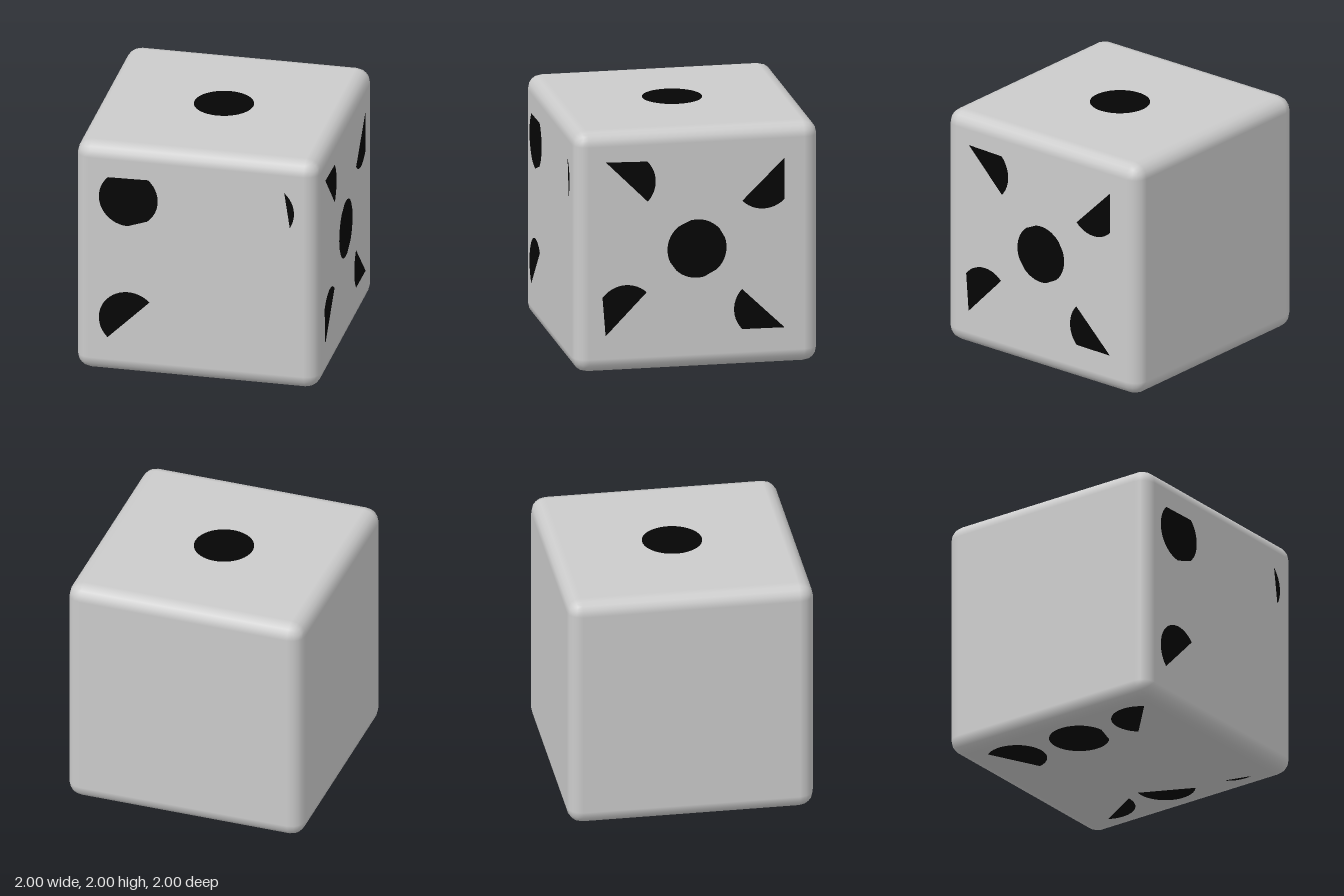
import * as THREE from 'three';
import { RoundedBoxGeometry } from 'three/addons/geometries/RoundedBoxGeometry.js';

const R = 0.242;
const LIFT = 1.002;

// Each spot: centre x, centre y, then the arcs [from, to] in degrees; chords join the arcs.
const FACES = [
  { name: 'front', rot: [0, 0, 0], spots: [
    [-0.56, 0.55, [-50, 48], [134, 268]],
    [-0.56, -0.515, [44, 225]],
    [0.56, 0.55, [-31, 48]],
  ] },
  { name: 'left', rot: [0, Math.PI / 2, 0], spots: [
    [0, 0, [-48, 20], [40, 102], [128, 205], [225, 284]],
    [-0.58, 0.575, [-43, 44], [133, 133]],
    [0.545, 0.545, [-136, -45], [45, 45]],
    [-0.58, -0.515, [46, 143], [226, 226]],
    [0.545, -0.52, [137, 224], [315, 315]],
  ] },
  { name: 'top', rot: [-Math.PI / 2, 0, 0], spots: [[0, 0, [0, 352]]] },
  { name: 'bottom', rot: [Math.PI / 2, 0, 0], spots: [
    [-0.59, -0.59, [13, 218]],
    [-0.59, 0.03, [96, 409]],
    [-0.59, 0.65, [138, 318]],
    [0.57, -0.57, [-31, 92]],
    [0.57, 0.03, [-102, 52]],
    [0.57, 0.65, [-44, 14]],
  ] },
];

// Flat disc trimmed by straight chords
function spotGeometry([cx, cy, ...arcs]) {
  const points = [];
  for (const [from, to] of arcs) {
    const steps = Math.ceil((to - from) / 8);
    for (let i = 0; i <= steps; i++) {
      const a = THREE.MathUtils.degToRad(from + (steps ? ((to - from) * i) / steps : 0));
      points.push(new THREE.Vector2(cx + R * Math.cos(a), cy + R * Math.sin(a)));
    }
  }
  return new THREE.ShapeGeometry(new THREE.Shape(points));
}

export function createModel() {
  const model = new THREE.Group();
  model.name = 'die';
  const grey = new THREE.MeshStandardMaterial({ color: 0xcccccc });
  const black = new THREE.MeshStandardMaterial({ color: 0x050505 });

  // Cube with softly rounded edges
  const body = new THREE.Mesh(new RoundedBoxGeometry(2, 2, 2, 2, 0.12), grey);
  body.name = 'body';
  body.position.y = 1;
  model.add(body);

  // Spots, laid just over each marked face
  for (const { name, rot, spots } of FACES) {
    const face = new THREE.Group();
    face.name = `${name}Spots`;
    face.position.y = 1;
    face.rotation.set(...rot);
    for (const spot of spots) {
      const mesh = new THREE.Mesh(spotGeometry(spot), black);
      mesh.name = 'spot';
      mesh.position.z = LIFT;
      face.add(mesh);
    }
    model.add(face);
  }
  return model;
}
